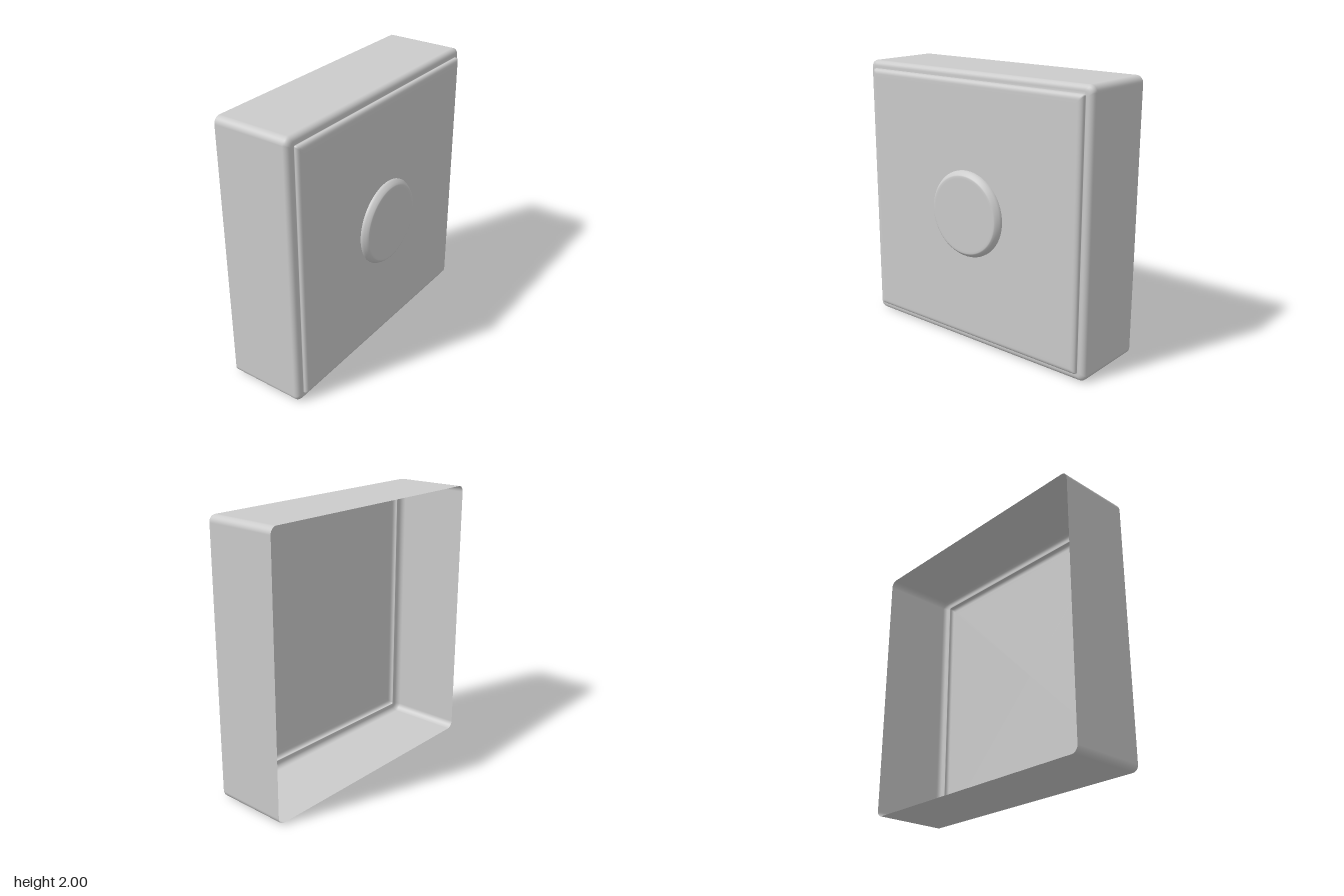
import * as THREE from 'three';

const grey = new THREE.MeshStandardMaterial({ color: 0xcccccc, side: THREE.DoubleSide });

// Ring of a rounded square facing +x: x position, half size, corner radius
function ring(x, half, radius, steps = 8) {
  const points = [];
  for (let corner = 0; corner < 4; corner++) {
    const mid = (corner + 0.5) * Math.PI / 2;
    const cy = Math.sign(Math.cos(mid)) * (half - radius);
    const cz = Math.sign(Math.sin(mid)) * (half - radius);
    for (let k = 0; k <= steps; k++) {
      const a = (corner + k / steps) * Math.PI / 2;
      points.push([x, cy + radius * Math.cos(a), cz + radius * Math.sin(a)]);
    }
  }
  return points;
}

// Skin the rings in order and close the last one with a flat cap
function loft(sections) {
  const rings = sections.map(s => ring(...s));
  const n = rings[0].length;
  const index = [];
  for (let i = 0; i < rings.length - 1; i++) {
    for (let j = 0; j < n; j++) {
      const a = i * n + j, b = i * n + (j + 1) % n;
      index.push(a, b, b + n, a, b + n, a + n);
    }
  }
  const last = (rings.length - 1) * n, centre = rings.length * n;
  for (let j = 0; j < n; j++) index.push(last + j, last + (j + 1) % n, centre);
  const positions = rings.flat(2).concat([sections[sections.length - 1][0], 0, 0]);
  const geometry = new THREE.BufferGeometry();
  geometry.setAttribute('position', new THREE.Float32BufferAttribute(positions, 3));
  geometry.setIndex(index);
  geometry.computeVertexNormals();
  return geometry;
}

export function createModel() {
  const group = new THREE.Group();

  // Thin open-backed housing, rounded rim, narrow ledge and raised panel
  const sections = [[-0.33, 1, 0.05], [0.205, 1, 0.05]];
  for (let k = 1; k <= 6; k++) {
    const a = k / 6 * Math.PI / 2;
    sections.push([0.205 + 0.04 * Math.sin(a), 0.96 + 0.04 * Math.cos(a), 0.05 - 0.02 * k / 6]);
  }
  sections.push([0.245, 0.944, 0.012], [0.247, 0.942, 0.01], [0.255, 0.942, 0.01]);
  for (let k = 1; k <= 6; k++) {
    const a = k / 6 * Math.PI / 2;
    sections.push([0.255 + 0.025 * Math.sin(a), 0.907 + 0.035 * Math.cos(a), 0.01]);
  }
  sections.push([0.28, 0.88, 0.01]);
  const housing = new THREE.Mesh(loft(sections), grey);
  housing.name = 'housing';
  housing.position.y = 1;
  group.add(housing);

  // Round button with a softened bevel
  const profile = [[0.315, 0], [0.315, 0.01], [0.309, 0.021], [0.299, 0.034], [0.288, 0.045],
    [0.28, 0.048], [0.265, 0.048], [0, 0.048]].map(p => new THREE.Vector2(...p));
  const button = new THREE.Mesh(new THREE.LatheGeometry(profile, 64), grey);
  button.name = 'button';
  button.rotation.z = -Math.PI / 2;
  button.position.set(0.28, 1, 0);
  group.add(button);

  return group;
}
